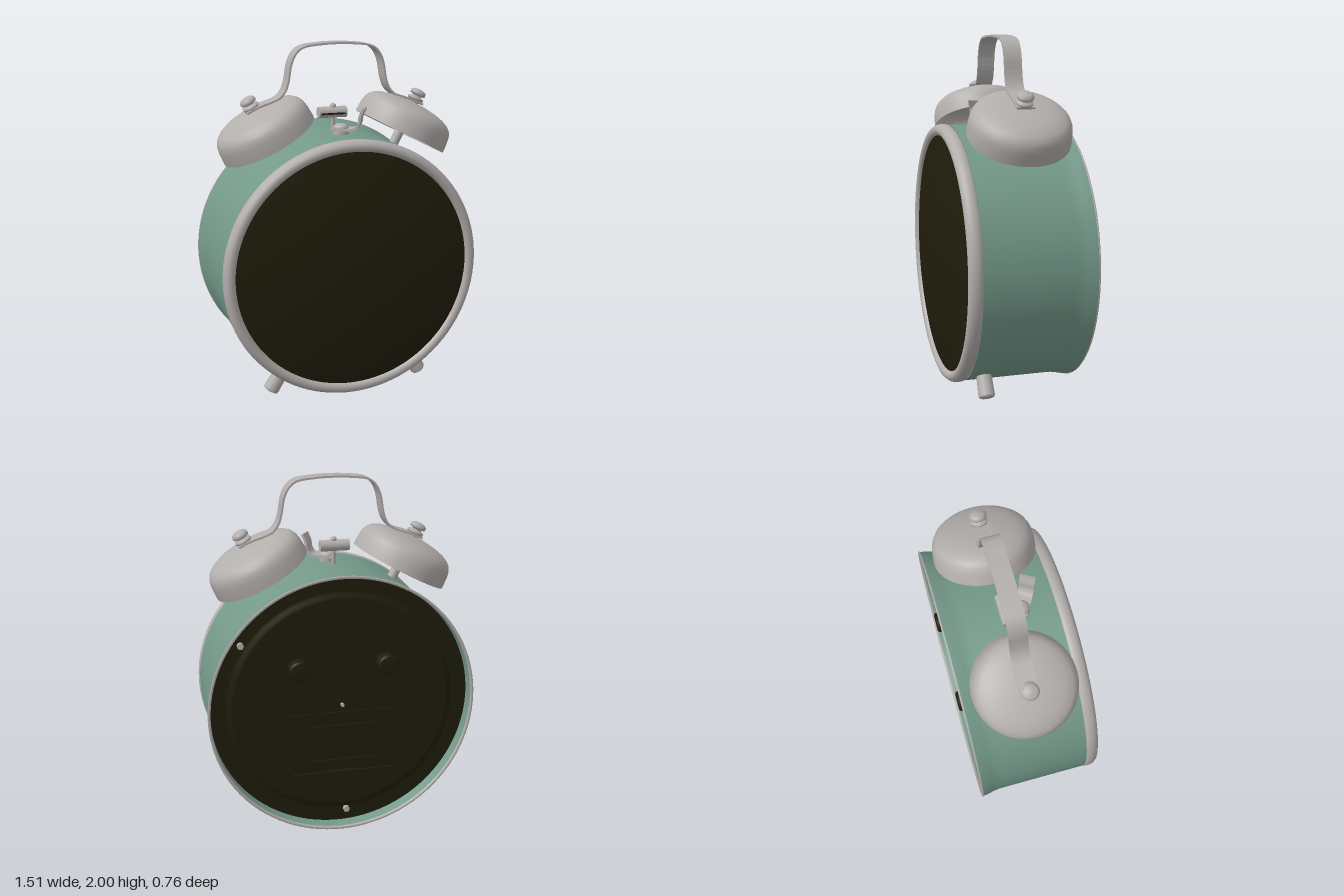
import * as THREE from 'three';

export function createModel() {
  const model = new THREE.Group();
  model.name = 'alarmClock';
  const material = (name, color, double) => {
    const m = new THREE.MeshStandardMaterial({ color });
    m.name = name;
    if (double) m.side = THREE.DoubleSide;
    return m;
  };
  const green = material('sageGreen', 0x74998a, true);
  const metal = material('paleMetal', 0xb2aeac, true);
  const dark = material('darkOlive', 0x1f1d0b);

  const CY = 0.76; // height of the case centre
  const BZ = -0.037; // depth of bells and handle

  const add = (parent, name, geo, mat, x = 0, y = 0, z = 0) => {
    const mesh = new THREE.Mesh(geo, mat);
    mesh.name = name;
    mesh.position.set(x, y, z);
    parent.add(mesh);
    return mesh;
  };
  const lathe = (pts, seg = 64) =>
    new THREE.LatheGeometry(pts.map(([r, h]) => new THREE.Vector2(r, h)), seg);
  // Lathe whose axis points along z
  const latheZ = (pts, seg = 96) => lathe(pts, seg).rotateX(Math.PI / 2);
  const rodZ = (r, len, seg = 24) => new THREE.CylinderGeometry(r, r, len, seg).rotateX(Math.PI / 2);

  // Bent metal strip: a smooth path in xy, thickened and given a width in z
  const strip = (pts, thick, width, div) => {
    const curve = new THREE.CatmullRomCurve3(
      pts.map(([x, y]) => new THREE.Vector3(x, y, 0)), false, 'centripetal');
    const upper = [], lower = [];
    for (let i = 0; i <= div; i++) {
      const p = curve.getPoint(i / div), t = curve.getTangent(i / div);
      const nx = -t.y * thick / 2, ny = t.x * thick / 2;
      upper.push(new THREE.Vector2(p.x + nx, p.y + ny));
      lower.push(new THREE.Vector2(p.x - nx, p.y - ny));
    }
    const shape = new THREE.Shape([...lower, ...upper.reverse()]);
    return new THREE.ExtrudeGeometry(shape, { depth: width, bevelEnabled: false })
      .translate(0, 0, -width / 2);
  };

  // Case: open drum flaring at the back, with a thin metal lip
  add(model, 'caseShell', latheZ([
    [0.753, -0.373], [0.75, -0.345], [0.742, -0.31], [0.737, -0.28], [0.736, -0.24],
    [0.736, 0.25],
  ]), green, 0, CY);
  add(model, 'backLip', latheZ([
    [0.74, -0.365], [0.741, -0.378], [0.753, -0.378], [0.757, -0.374], [0.755, -0.368],
  ]), metal, 0, CY);

  // Front ring and domed dial
  add(model, 'frontRing', latheZ([
    [0.70, 0.245], [0.728, 0.246], [0.74, 0.258], [0.742, 0.28], [0.738, 0.302],
    [0.725, 0.319], [0.708, 0.325], [0.692, 0.321], [0.68, 0.31], [0.675, 0.29],
  ]), metal, 0, CY);
  const dome = [];
  for (let i = 0; i <= 16; i++) {
    const r = 0.69 * (1 - i / 16);
    dome.push([r, 0.38 - 0.08 * (r / 0.69) ** 2]);
  }
  add(model, 'dial', latheZ(dome), dark, 0, CY);

  // Recessed back panel with knobs, battery door and screws
  const back = new THREE.Group();
  back.name = 'backPanel';
  back.position.y = CY;
  model.add(back);
  add(back, 'panel', latheZ([
    [0, -0.315], [0.61, -0.315], [0.625, -0.312], [0.64, -0.302], [0.655, -0.298], [0.738, -0.298],
  ]), dark);
  for (const s of [-1, 1]) {
    add(back, 'knob', latheZ([
      [0, -0.385], [0.045, -0.384], [0.055, -0.379], [0.058, -0.37], [0.056, -0.31],
    ], 32), dark, s * 0.25, 0.235);
  }
  const frame = (name, w, h, y, bar, z) => {
    for (const s of [-1, 1]) {
      add(back, name, new THREE.BoxGeometry(w, bar, 0.012), dark, 0, y + s * h / 2, z);
      add(back, name, new THREE.BoxGeometry(bar, h, 0.012), dark, s * w / 2, y, z);
    }
  };
  frame('batteryDoorFrame', 0.60, 0.39, -0.245, 0.012, -0.317);
  frame('batteryDoorPanel', 0.40, 0.21, -0.235, 0.014, -0.319);
  add(back, 'batteryDoorSill', new THREE.BoxGeometry(0.60, 0.03, 0.015), dark, 0, -0.425, -0.32);
  add(back, 'batteryDoorTab', new THREE.BoxGeometry(0.15, 0.055, 0.03), dark, 0, -0.43, -0.325);
  add(back, 'centrePin', rodZ(0.01, 0.03, 12), metal, 0, 0, -0.32);
  for (const [x, y] of [[0.56, 0.385], [-0.03, -0.665]]) {
    add(back, 'screw', rodZ(0.018, 0.03, 16), metal, x, y, -0.305);
  }

  // Bells on posts, each held by a nut
  const bellProfile = lathe([
    [0.283, 0], [0.282, 0.03], [0.279, 0.07], [0.273, 0.1], [0.26, 0.125], [0.238, 0.145],
    [0.2, 0.163], [0.15, 0.176], [0.08, 0.186], [0.001, 0.19],
  ]);
  const nutProfile = lathe([
    [0.028, 0.18], [0.028, 0.203], [0.046, 0.206], [0.048, 0.212], [0.046, 0.222], [0.028, 0.226],
    [0.028, 0.234], [0.044, 0.237], [0.047, 0.245], [0.044, 0.258], [0.03, 0.268], [0, 0.272],
  ], 24);
  for (const s of [-1, 1]) {
    const bell = new THREE.Group();
    bell.name = s > 0 ? 'leftBell' : 'rightBell';
    bell.position.set(s * 0.393, 1.468, BZ);
    bell.rotation.z = -s * 0.48;
    model.add(bell);
    add(bell, 'bellCup', bellProfile, metal);
    add(bell, 'bellPost', new THREE.CylinderGeometry(0.028, 0.028, 0.29, 20), metal, 0, 0.04);
    add(bell, 'bellNut', nutProfile, metal);
  }

  // Carrying handle
  const half = [[0.52, 1.627], [0.45, 1.66], [0.34, 1.70], [0.305, 1.74], [0.287, 1.79],
    [0.268, 1.89], [0.24, 1.945], [0.2, 1.975], [0.1, 1.99]];
  const path = [...half.map(([x, y]) => [-x, y]), [0, 1.994], ...half.slice().reverse()];
  add(model, 'handle', strip(path, 0.011, 0.1, 72), metal, 0, 0, BZ);

  // Hammer between the bells
  const hammer = new THREE.Group();
  hammer.name = 'hammer';
  hammer.position.set(-0.02, 1.605, BZ);
  model.add(hammer);
  add(hammer, 'hammerHead', new THREE.CylinderGeometry(0.032, 0.032, 0.165, 24).rotateZ(Math.PI / 2), metal);
  add(hammer, 'hammerSlot', new THREE.BoxGeometry(0.14, 0.01, 0.006), dark, 0, -0.006, 0.031);
  add(hammer, 'hammerStem', new THREE.CylinderGeometry(0.012, 0.012, 0.16, 16), metal, 0.005, -0.06);
  add(hammer, 'hammerCap', new THREE.SphereGeometry(0.018, 16, 10), metal, 0.005, 0.034);

  // Stop lever, bent upwards at its free end
  const lever = new THREE.Group();
  lever.name = 'stopLever';
  lever.position.set(0, 0, 0.06);
  lever.rotation.y = -0.53;
  model.add(lever);
  add(lever, 'leverStrip', strip([[-0.04, 1.525], [0.04, 1.522], [0.085, 1.53], [0.108, 1.56],
    [0.115, 1.6], [0.135, 1.645]], 0.014, 0.085, 20), metal);
  add(lever, 'leverPivot', lathe([
    [0.045, 1.485], [0.045, 1.53], [0.04, 1.542], [0.025, 1.552], [0, 1.556],
  ], 24), metal);

  // Two front feet pointing outwards from the case
  for (const s of [-1, 1]) {
    const foot = add(model, s > 0 ? 'leftFoot' : 'rightFoot', lathe([
      [0, -0.86], [0.032, -0.859], [0.042, -0.855], [0.046, -0.845], [0.042, -0.70],
    ], 24), metal, 0, CY, 0.16);
    foot.rotation.z = s * 0.57;
  }

  return model;
}
